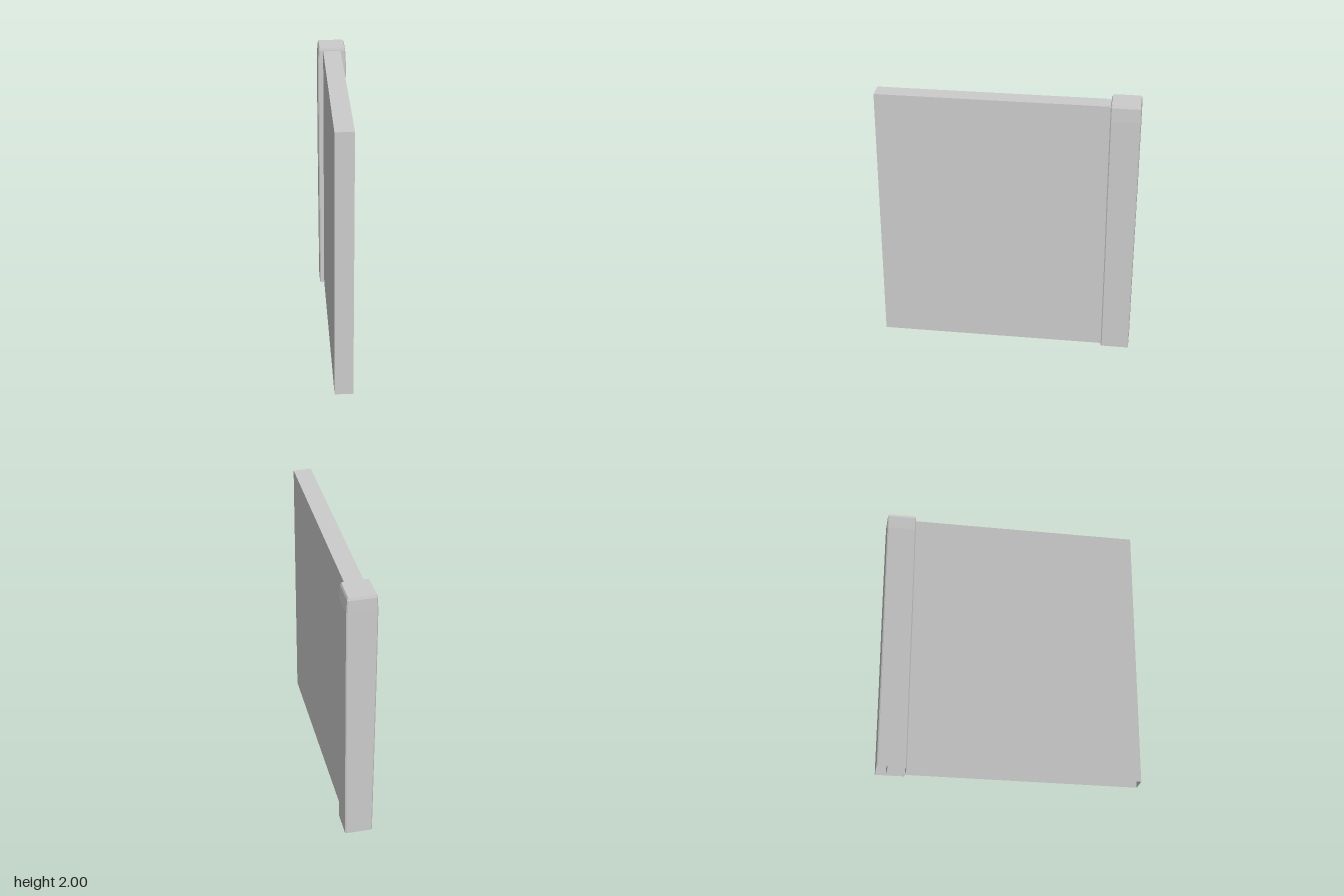
import * as THREE from 'three';

const material = new THREE.MeshStandardMaterial({
  color: 0xcccccc, flatShading: true, side: THREE.DoubleSide,
});

// Rectangle with chamfered corners, counter-clockwise seen from above
function ring(y, hx, hz, c) {
  const corners = [[hx, hz, 0, -c], [hx, hz, -c, 0]];
  const pts = [];
  for (const [sx, sz] of [[1, 1], [1, -1], [-1, -1], [-1, 1]]) {
    const pair = corners.map(([x, z, dx, dz]) => [sx * (x + dx), y, sz * (z + dz)]);
    if (sx * sz > 0) pair.reverse();
    pts.push(...pair);
  }
  return pts;
}

// Skin stacked rings, closed on top and open underneath
function loft(rings) {
  const n = rings[0].length, pos = [];
  for (let r = 0; r < rings.length - 1; r++) {
    for (let i = 0; i < n; i++) {
      const j = (i + 1) % n;
      const a = rings[r][i], b = rings[r][j], c = rings[r + 1][j], d = rings[r + 1][i];
      pos.push(...a, ...b, ...c, ...a, ...c, ...d);
    }
  }
  const top = rings[rings.length - 1];
  for (let i = 1; i < n - 1; i++) pos.push(...top[0], ...top[i], ...top[i + 1]);
  const g = new THREE.BufferGeometry();
  g.setAttribute('position', new THREE.Float32BufferAttribute(pos, 3));
  g.computeVertexNormals();
  return g;
}

export function createModel() {
  const group = new THREE.Group();
  group.name = 'wallWithPost';

  // Wall slab, open underneath, its end running into the post
  const front = 0.94, back = -0.86, height = 1.975, half = 0.066;
  const slab = new THREE.BoxGeometry(half * 2, height, front - back);
  const index = Array.from(slab.index.array);
  index.splice(18, 6); // drop the underside
  slab.setIndex(index);
  const wall = new THREE.Mesh(slab, material);
  wall.name = 'wallPanel';
  wall.position.set(0, height / 2, (front + back) / 2);
  group.add(wall);

  // Slightly swelling post with bevelled edges: [y, half width, half depth]
  const profile = [
    [0, 0.1, 0.104], [0.64, 0.103, 0.104], [1.3, 0.106, 0.106],
    [1.88, 0.106, 0.106], [1.98, 0.101, 0.105], [2, 0.094, 0.1],
  ];
  const post = new THREE.Mesh(loft(profile.map(([y, x, z]) => ring(y, x, z, 0.008))), material);
  post.name = 'endPost';
  post.position.z = -0.833;
  group.add(post);

  return group;
}
